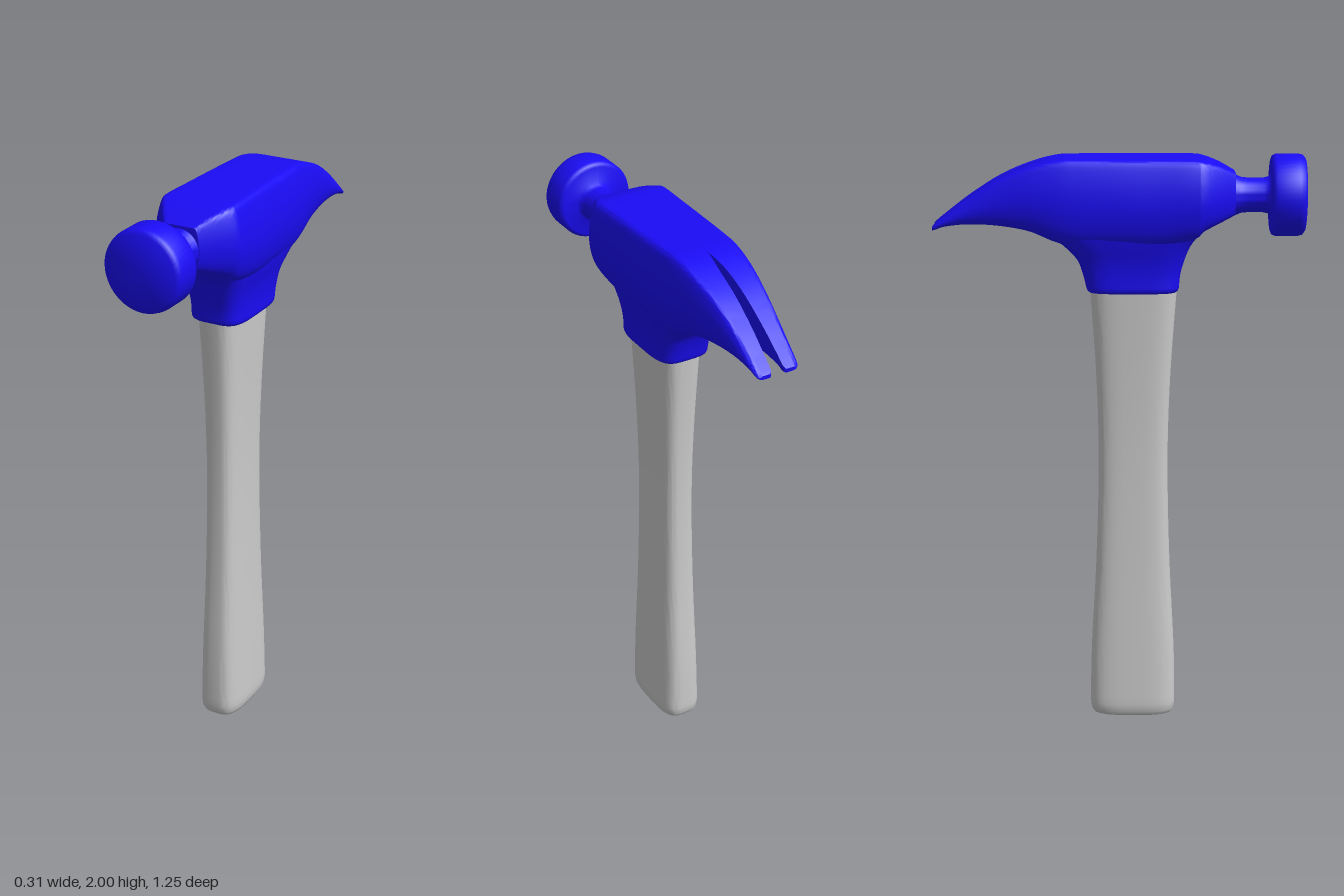
import * as THREE from 'three';
import { toCreasedNormals } from 'three/addons/utils/BufferGeometryUtils.js';

// Smoothly resample rows of numbers, column by column
function resample(rows, count) {
  const cols = rows[0].map((_, c) => new THREE.SplineCurve(rows.map(r => new THREE.Vector2(r[c], 0))));
  return Array.from({ length: count + 1 }, (_, i) => cols.map(c => c.getPoint(i / count).x));
}

// Capped skin over equal-length closed rings of [x, y, z], always facing outwards
function loft(rings, crease) {
  const n = rings[0].length;
  const pos = rings.flat();
  const tris = [];
  for (let i = 0; i < rings.length - 1; i++) {
    for (let j = 0; j < n; j++) {
      const a = i * n + j, b = i * n + (j + 1) % n;
      tris.push([a, b, b + n], [a, b + n, a + n]);
    }
  }
  const last = (rings.length - 1) * n;
  for (const start of [0, last]) {
    const ring = rings[start / n];
    const mid = pos.push([0, 1, 2].map(k => ring.reduce((s, p) => s + p[k], 0) / n)) - 1;
    for (let j = 0; j < n; j++) {
      const a = start + j, b = start + (j + 1) % n;
      tris.push(start === 0 ? [mid, b, a] : [mid, a, b]);
    }
  }
  const v = pos.map(p => new THREE.Vector3(...p));
  const origin = v[pos.length - 1];
  let volume = 0;
  for (const t of tris) {
    const [a, b, c] = t.map(i => v[i].clone().sub(origin));
    volume += a.dot(b.cross(c));
  }
  const geo = new THREE.BufferGeometry();
  geo.setAttribute('position', new THREE.Float32BufferAttribute(pos.flat(), 3));
  geo.setIndex(tris.flatMap(([a, b, c]) => (volume < 0 ? [a, c, b] : [a, b, c])));
  return toCreasedNormals(geo, crease);
}

// Horizontal rounded-rectangle ring
function roundedRing(y, zMin, zMax, halfX, power, count = 56) {
  const soft = c => Math.sign(c) * Math.abs(c) ** (2 / power);
  return Array.from({ length: count }, (_, i) => {
    const a = (i / count) * Math.PI * 2;
    return [halfX * soft(Math.cos(a)), y, (zMin + zMax) / 2 + ((zMax - zMin) / 2) * soft(Math.sin(a))];
  });
}

export function createModel() {
  const group = new THREE.Group();
  const grey = new THREE.MeshStandardMaterial({ color: 0xcccccc });
  const blue = new THREE.MeshStandardMaterial({ color: 0x1a0cf5 });
  const add = (name, geo, mat) => {
    const mesh = new THREE.Mesh(geo, mat);
    mesh.name = name;
    group.add(mesh);
    return mesh;
  };

  // Handle: slim waist, rounded butt; rows are y, zMin, zMax, half width
  const grip = resample([
    [0.05, -0.1, 0.2, 0.079], [0.25, -0.096, 0.196, 0.074], [0.6, -0.078, 0.178, 0.065],
    [0.95, -0.07, 0.17, 0.061], [1.25, -0.078, 0.178, 0.066], [1.58, -0.1, 0.2, 0.079],
  ], 24);
  const butt = [[0.004, -0.075, 0.175, 0.058], [0.01, -0.089, 0.189, 0.069], [0.024, -0.097, 0.197, 0.076]];
  add('handle', loft([...butt, ...grip].map(r => roundedRing(...r, 3.3)), 0.9), grey);

  // Socket: collar round the handle flaring into the head
  const flare = resample([
    [1.552, -0.11, 0.204, 0.1], [1.6, -0.122, 0.209, 0.101], [1.65, -0.142, 0.223, 0.107],
    [1.7, -0.19, 0.245, 0.119], [1.74, -0.25, 0.278, 0.127], [1.765, -0.29, 0.305, 0.125],
  ], 20);
  const lip = [[1.54, -0.102, 0.196, 0.092], [1.544, -0.107, 0.201, 0.097]];
  add('socket', loft([...lip, ...flare].map(r => roundedRing(...r, 4)), 0.9), blue);

  // Head and claw: mirrored halves, rows are z, top, bottom, half width, half slot
  const stations = resample([
    [0.39, 1.94, 1.8, 0.07, 0], [0.335, 1.968, 1.775, 0.115, 0], [0.285, 1.984, 1.752, 0.15, 0],
    [0.25, 1.989, 1.725, 0.155, 0], [0.13, 1.99, 1.7, 0.151, 0], [0, 1.99, 1.7, 0.147, 0],
    [-0.13, 1.99, 1.7, 0.141, 0], [-0.21, 1.987, 1.715, 0.135, 0], [-0.3, 1.964, 1.751, 0.123, 0.011],
    [-0.4, 1.922, 1.768, 0.107, 0.015], [-0.5, 1.86, 1.772, 0.092, 0.018],
    [-0.58, 1.8, 1.764, 0.081, 0.021], [-0.615, 1.772, 1.753, 0.075, 0.022], [-0.625, 1.763, 1.75, 0.066, 0.03],
  ], 78);
  const outline = [[0, 0], ...resample([
    [0.6, 0], [0.78, 0.04], [0.92, 0.17], [1, 0.4], [0.98, 0.65], [0.89, 0.88], [0.8, 0.985], [0.65, 1],
  ], 28), [0, 1]];
  for (const [side, name] of [[1, 'leftHeadAndClaw'], [-1, 'rightHeadAndClaw']]) {
    const rings = stations.map(([z, top, bottom, w, slot]) => {
      const s = Math.max(slot, 0);
      return outline.map(([u, v]) => [side * (s + u * (w - s)), bottom + v * (top - bottom), z]);
    });
    add(name, loft(rings, 0.7), blue);
  }

  // Neck and striking face: turned about the z axis
  const profile = [
    [0, 0.36], [0.075, 0.36], [0.068, 0.392], [0.06, 0.41], [0.058, 0.43], [0.058, 0.485], [0.062, 0.502], [0.072, 0.51],
    [0.122, 0.51], [0.132, 0.514], [0.1375, 0.526], [0.1375, 0.602], [0.134, 0.616], [0.122, 0.625], [0, 0.625],
  ].map(p => new THREE.Vector2(...p));
  const face = add('neckAndStrikingFace', toCreasedNormals(new THREE.LatheGeometry(profile, 48), 0.8), blue);
  face.rotation.x = Math.PI / 2;
  face.position.y = 1.8625;

  return group;
}
